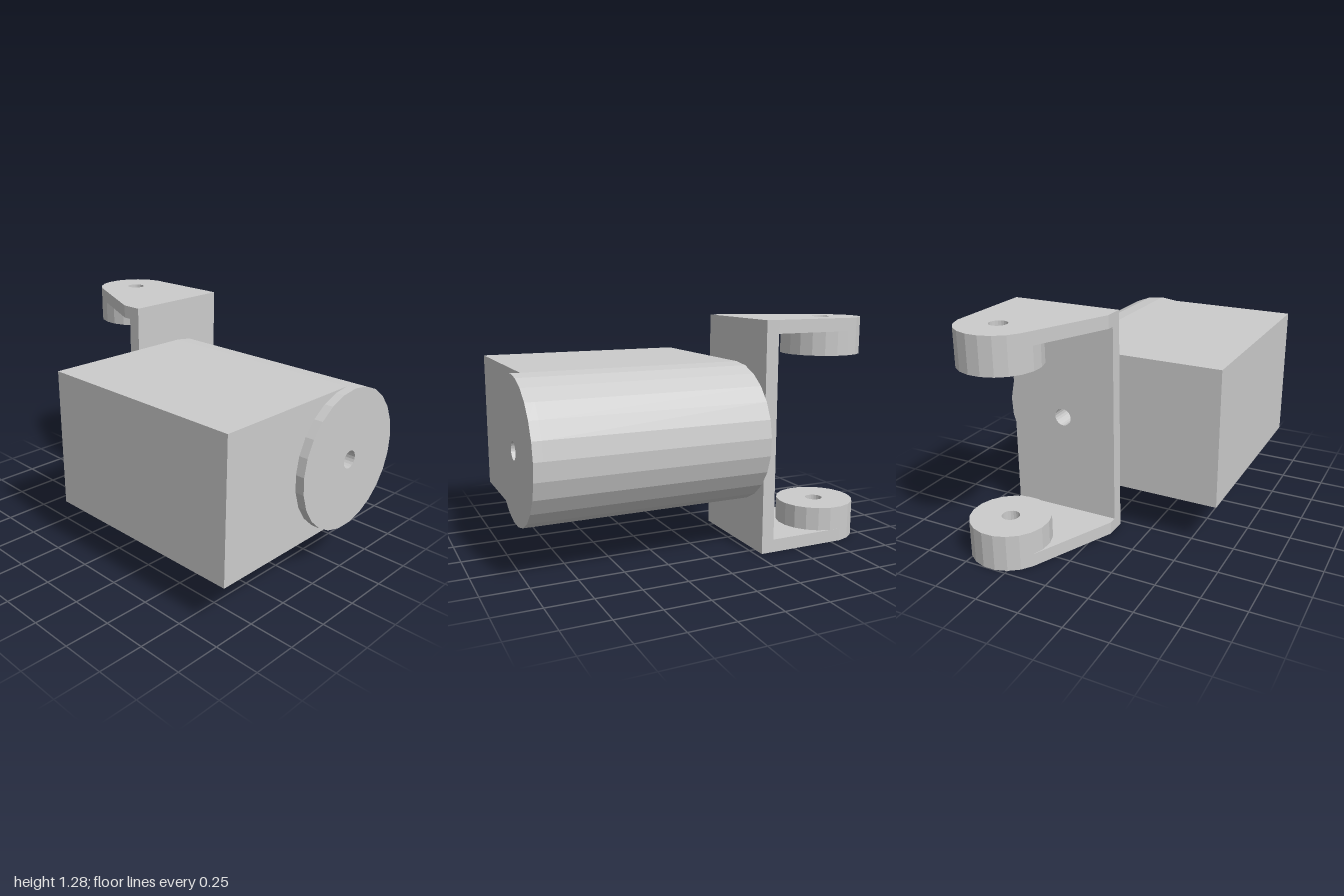
import * as THREE from 'three';

const material = new THREE.MeshStandardMaterial({ color: 0xcccccc, flatShading: true });

// Points on a regular polygon arc; angles in degrees
function arc(cx, cy, r, from, to, steps) {
  return Array.from({ length: steps + 1 }, (_, i) => {
    const a = THREE.MathUtils.degToRad(from + ((to - from) * i) / steps);
    return new THREE.Vector2(cx + r * Math.cos(a), cy + r * Math.sin(a));
  });
}
const ring = (cx, cy, r, start, sides) => arc(cx, cy, r, start, start + 360, sides).slice(0, -1);
const pts = (...list) => list.map(([x, y]) => new THREE.Vector2(x, y));

// Extruded outline with one round hole
function plate(name, outline, hole, depth) {
  const shape = new THREE.Shape(outline);
  shape.holes.push(new THREE.Path(ring(hole[0], hole[1], 0.05, 0, 20)));
  const geometry = new THREE.ExtrudeGeometry(shape, { depth, bevelEnabled: false });
  const mesh = new THREE.Mesh(geometry, material);
  mesh.name = name;
  return mesh;
}

export function createModel() {
  const model = new THREE.Group();
  model.name = 'hingeBracketAssembly';

  const axle = [0.255, 0.645], radius = 0.394;
  const backZ = -0.285, bodyFront = 0.95;

  // Block body with one rounded side
  const bodyOutline = [
    ...pts([-0.65, 0.251], [0.255, 0.251]),
    ...arc(...axle, radius, -82.8, 90, 12),
    ...pts([-0.65, 1.039]),
  ];
  const body = plate('body', bodyOutline, axle, bodyFront - backZ);
  body.position.z = backZ;

  // Round boss standing proud of the front face
  const cap = plate('frontBoss', ring(...axle, radius, 90, 25), axle, 1 - bodyFront);
  cap.position.z = bodyFront;
  model.add(body, cap);

  // U-shaped bracket: upright back plate
  const bracket = new THREE.Group();
  bracket.name = 'bracket';
  const left = 0.575, right = -0.067, height = 1.285, thick = 0.073;
  const upright = plate('backPlate',
    pts([right, 0], [left, 0], [left, height], [right, height]), axle, thick);
  upright.position.z = backZ - thick;
  bracket.add(upright);

  // Tapered arms and the pivot bosses on their inner faces (outline y runs to the back)
  const pivot = [0.35, 0.777], bossRadius = 0.224, bossHeight = 0.133;
  const armOutline = [
    ...pts([right, -backZ + thick], [left, -backZ + thick]),
    ...arc(...pivot, bossRadius, 9, 153, 8),
    ...pts([right, 0.405]),
  ];
  const bossOutline = ring(...pivot, bossRadius, 9, 20);
  for (const [side, armY, bossY] of [
    ['lower', 0, thick],
    ['upper', height - thick, height - thick - bossHeight],
  ]) {
    const arm = plate(side + 'Arm', armOutline, pivot, thick);
    const boss = plate(side + 'PivotBoss', bossOutline, pivot, bossHeight);
    arm.rotation.x = boss.rotation.x = -Math.PI / 2;
    arm.position.y = armY;
    boss.position.y = bossY;
    bracket.add(arm, boss);
  }
  model.add(bracket);
  return model;
}
